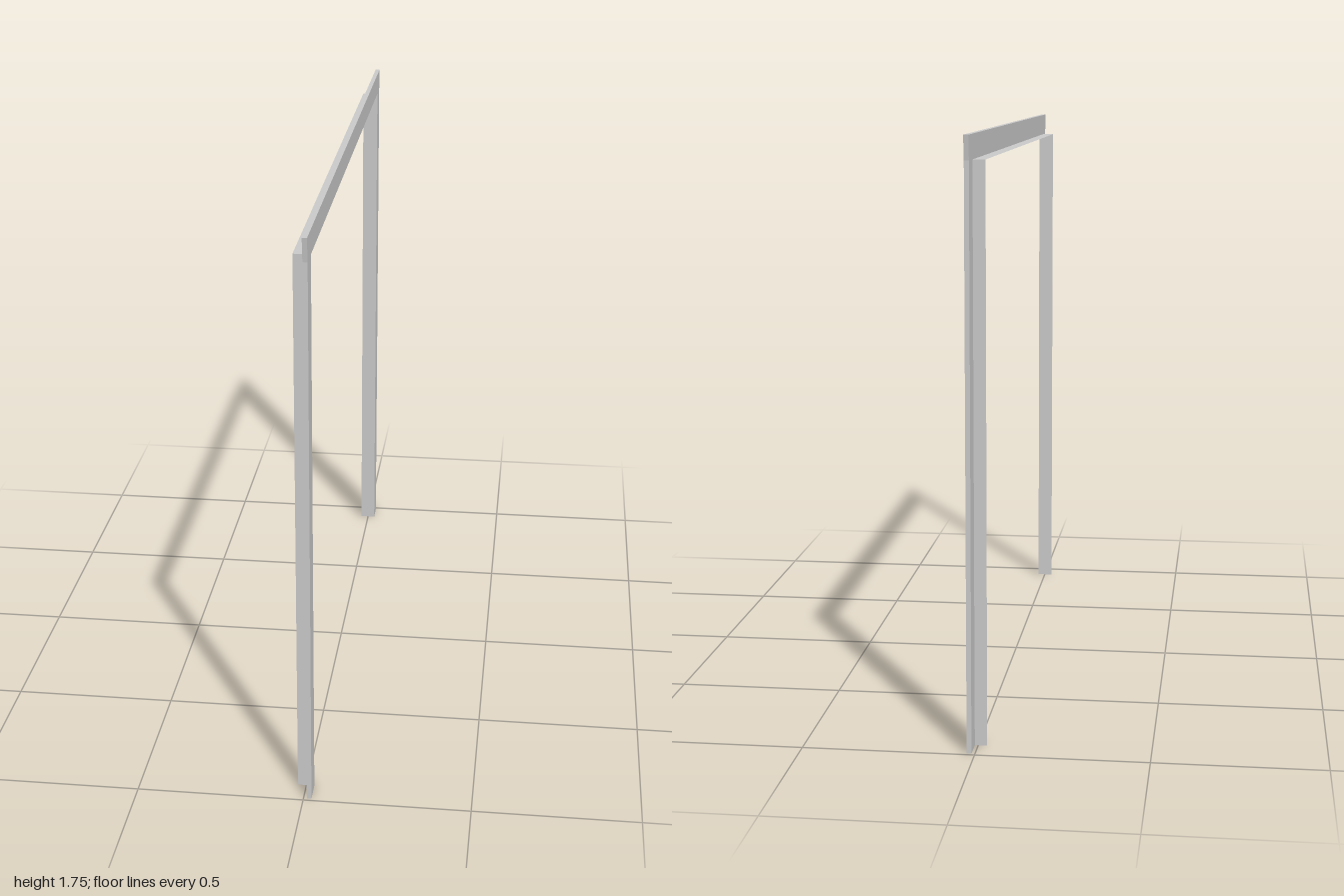
import * as THREE from 'three';

const OPEN_HALF = 0.922, OPEN_TOP = 1.68;   // door opening
const LEG_HALF = 0.99, HEAD_HALF = 1.0, TOP = 1.75; // outer edge of the trim
const BACK = -0.026, TRIM_BACK = 0.01, FRONT = 0.024;

export function createModel() {
  const group = new THREE.Group();
  group.name = 'doorFrame';
  const material = new THREE.MeshStandardMaterial({ color: 0xcccccc, flatShading: true });
  const sheetMaterial = material.clone();
  sheetMaterial.side = THREE.DoubleSide;

  // Flat casing: two legs and a head with slightly flared ends
  const outline = new THREE.Shape([
    [-LEG_HALF, 0], [-OPEN_HALF, 0], [-OPEN_HALF, OPEN_TOP], [OPEN_HALF, OPEN_TOP],
    [OPEN_HALF, 0], [LEG_HALF, 0], [LEG_HALF, OPEN_TOP], [HEAD_HALF, TOP],
    [-HEAD_HALF, TOP], [-LEG_HALF, OPEN_TOP],
  ].map(([x, y]) => new THREE.Vector2(x, y)));
  const casingGeometry = new THREE.ExtrudeGeometry(outline, { depth: FRONT - TRIM_BACK, bevelEnabled: false });
  casingGeometry.rotateY(Math.PI / 2).translate(TRIM_BACK, 0, 0);
  const casing = new THREE.Mesh(casingGeometry, material);
  casing.name = 'casing';
  group.add(casing);

  // Thin lining around the opening, running back from the casing
  const depth = TRIM_BACK - BACK, midX = (TRIM_BACK + BACK) / 2;
  for (const side of [1, -1]) {
    const jamb = new THREE.Mesh(new THREE.PlaneGeometry(depth, OPEN_TOP), sheetMaterial);
    jamb.name = side > 0 ? 'frontJamb' : 'backJamb';
    jamb.position.set(midX, OPEN_TOP / 2, side * OPEN_HALF);
    group.add(jamb);
  }
  const head = new THREE.Mesh(new THREE.PlaneGeometry(depth, OPEN_HALF * 2), sheetMaterial);
  head.name = 'headJamb';
  head.rotation.x = Math.PI / 2;
  head.position.set(midX, OPEN_TOP, 0);
  group.add(head);

  return group;
}
